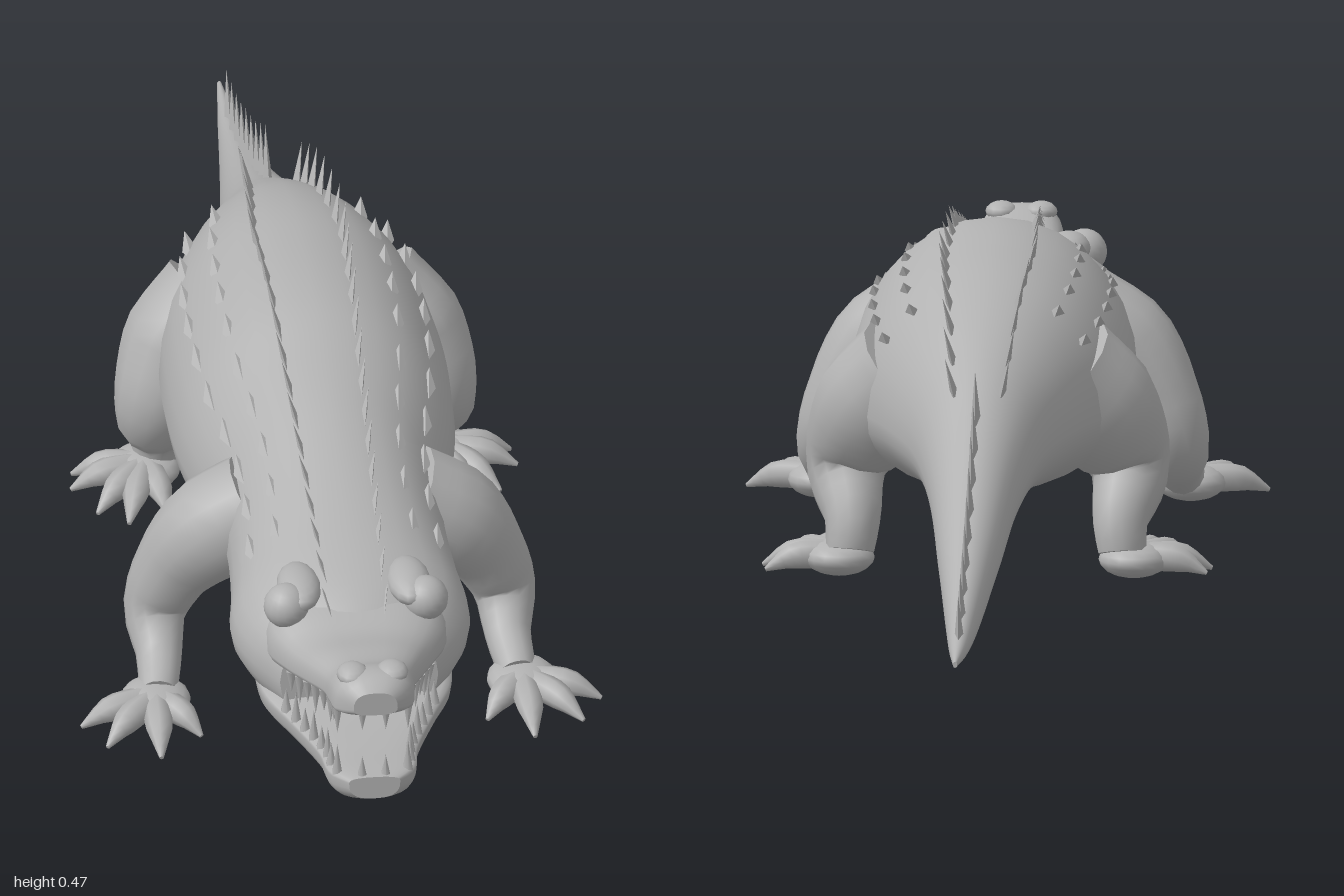
import * as THREE from 'three';

const skin = new THREE.MeshStandardMaterial({ color: 0xb2b2b2 });
skin.name = 'grey skin';

function add(parent, name, geometry) {
  const mesh = new THREE.Mesh(geometry, skin);
  mesh.name = name;
  parent.add(mesh);
  return mesh;
}

function group(parent, name) {
  const g = new THREE.Group();
  g.name = name;
  parent.add(g);
  return g;
}

// Skin a list of rings (counterclockwise about the direction of travel) and cap both ends
function loft(rings) {
  const n = rings[0].length, pos = [], idx = [];
  const put = p => pos.push(p.x, p.y, p.z) / 3 - 1;
  rings.forEach(r => r.forEach(put));
  for (let i = 0; i < rings.length - 1; i++) {
    for (let j = 0; j < n; j++) {
      const a = i * n + j, b = i * n + (j + 1) % n;
      idx.push(a, b, b + n, a, b + n, a + n);
    }
  }
  [rings[0], rings[rings.length - 1]].forEach((ring, end) => {
    const first = pos.length / 3;
    ring.forEach(put);
    const mid = put(ring.reduce((s, p) => s.add(p), new THREE.Vector3()).divideScalar(n));
    for (let j = 0; j < n; j++) {
      const a = first + j, b = first + (j + 1) % n;
      if (end) idx.push(mid, a, b); else idx.push(mid, b, a);
    }
  });
  const g = new THREE.BufferGeometry();
  g.setAttribute('position', new THREE.Float32BufferAttribute(pos, 3));
  g.setIndex(idx);
  g.computeVertexNormals();
  return g;
}

// Smooth sampler over sections [z, half width, centre y, height above, height below]
function sampler(sections) {
  const spline = new THREE.CubicInterpolant(
    new Float32Array(sections.map(s => s[0])),
    new Float32Array(sections.flatMap(s => s.slice(1))), 4);
  return z => [...spline.evaluate(z)];
}

function hull(sections, steps, power, sides = 28) {
  const at = sampler(sections), z0 = sections[0][0], z1 = sections[sections.length - 1][0];
  const soft = v => Math.sign(v) * Math.abs(v) ** power;
  const rings = [];
  for (let i = 0; i <= steps; i++) {
    const z = z0 + (z1 - z0) * i / steps, [w, y, up, down] = at(z);
    rings.push(Array.from({ length: sides }, (_, j) => {
      const a = j / sides * Math.PI * 2, s = soft(Math.sin(a));
      return new THREE.Vector3(w * soft(Math.cos(a)), y + s * (s > 0 ? up : down), z);
    }));
  }
  return loft(rings);
}

// Tapered limb through points [x, y, z, radius], mirrored by side
function limb(points, side, steps = 16, sides = 14) {
  const curve = new THREE.CatmullRomCurve3(points.map(p => new THREE.Vector3(p[0] * side, p[1], p[2])));
  const frames = curve.computeFrenetFrames(steps);
  const rings = [];
  for (let i = 0; i <= steps; i++) {
    const t = curve.getUtoTmapping(i / steps), c = curve.getPoint(t);
    const f = t * (points.length - 1), k = Math.min(Math.floor(f), points.length - 2);
    const r = THREE.MathUtils.lerp(points[k][3], points[k + 1][3], f - k);
    rings.push(Array.from({ length: sides }, (_, j) => {
      const a = j / sides * Math.PI * 2;
      return c.clone().addScaledVector(frames.normals[i], r * Math.cos(a))
        .addScaledVector(frames.binormals[i], r * Math.sin(a));
    }));
  }
  return loft(rings);
}

// Thin four-sided spike, its tip swept back and leaning sideways
function spike(parent, name, x, y, z, length, height, thick, lean) {
  const g = new THREE.ConeGeometry(1, 1, 4).toNonIndexed();
  const p = g.attributes.position;
  for (let i = 0; i < p.count; i++) {
    const t = p.getY(i) + 0.5;
    p.setXYZ(i, p.getX(i) * thick + lean * t, t * height, p.getZ(i) * length / 2 - t * length * 0.55);
  }
  g.computeVertexNormals();
  add(parent, name, g).position.set(x, y, z);
}

const BODY = [
  [-1, 0.003, 0.045, 0.004, 0.004], [-0.9, 0.013, 0.048, 0.016, 0.014],
  [-0.8, 0.022, 0.062, 0.03, 0.026], [-0.6, 0.042, 0.115, 0.055, 0.045],
  [-0.4, 0.067, 0.185, 0.085, 0.067], [-0.3, 0.092, 0.215, 0.115, 0.08],
  [-0.2, 0.135, 0.23, 0.155, 0.095], [-0.1, 0.172, 0.23, 0.19, 0.108],
  [0, 0.19, 0.23, 0.208, 0.116], [0.2, 0.193, 0.235, 0.212, 0.128],
  [0.3, 0.18, 0.235, 0.19, 0.128], [0.4, 0.158, 0.235, 0.17, 0.115],
  [0.5, 0.15, 0.235, 0.145, 0.108], [0.6, 0.155, 0.23, 0.125, 0.11],
  [0.68, 0.163, 0.22, 0.115, 0.1], [0.74, 0.143, 0.215, 0.1, 0.095],
  [0.785, 0.108, 0.205, 0.085, 0.085],
];
const UPPER_JAW = [
  [0.66, 0.12, 0.255, 0.068, 0.04], [0.76, 0.122, 0.24, 0.062, 0.025],
  [0.8, 0.103, 0.24, 0.052, 0.018], [0.86, 0.08, 0.255, 0.046, 0.016],
  [0.91, 0.062, 0.268, 0.042, 0.014], [0.95, 0.058, 0.277, 0.05, 0.012],
  [0.98, 0.051, 0.281, 0.046, 0.011], [0.998, 0.03, 0.288, 0.025, 0.01],
];
const LOWER_JAW = [
  [0.66, 0.135, 0.17, 0.03, 0.05], [0.76, 0.128, 0.168, 0.018, 0.05],
  [0.82, 0.1, 0.163, 0.012, 0.046], [0.9, 0.068, 0.16, 0.01, 0.042],
  [0.96, 0.056, 0.161, 0.01, 0.038], [0.985, 0.035, 0.163, 0.008, 0.026],
];
const FRONT_LEG = [
  [0.1, 0.27, 0.43, 0.075], [0.165, 0.23, 0.425, 0.073], [0.213, 0.165, 0.41, 0.055],
  [0.238, 0.1, 0.408, 0.044], [0.238, 0.058, 0.455, 0.032], [0.245, 0.033, 0.52, 0.026],
];
const HIND_LEG = [
  [0.1, 0.28, -0.07, 0.09], [0.155, 0.225, -0.05, 0.085], [0.192, 0.145, -0.025, 0.056],
  [0.182, 0.08, -0.075, 0.038], [0.185, 0.038, -0.085, 0.033],
];
const FRONT_TOES = [[0.355, 0.56], [0.325, 0.615], [0.255, 0.65], [0.195, 0.6]];
const HIND_TOES = [[0.3, -0.085], [0.305, -0.045], [0.275, 0.02], [0.235, 0.05], [0.18, 0.03]];

function buildLeg(parent, name, path, toes, palm, side) {
  const leg = group(parent, name);
  add(leg, 'limb', limb(path, side));
  const foot = add(leg, 'palm', new THREE.SphereGeometry(1, 16, 10));
  foot.scale.set(0.048, 0.025, 0.052);
  foot.position.set(palm[0] * side, 0.026, palm[1]);
  for (const [x, z] of toes) {
    const mx = (palm[0] + x * 1.5) / 2.5, mz = (palm[1] + z * 1.5) / 2.5;
    add(leg, 'toe', limb([[palm[0], 0.028, palm[1], 0.02], [mx, 0.028, mz, 0.019],
      [x, 0.01, z, 0.003]], side, 8, 8));
  }
}

function buildTeeth(parent, name, sections, dir) {
  const teeth = group(parent, name), at = sampler(sections);
  const tooth = (x, z, size) => {
    const [, y, up, down] = at(z);
    const t = add(teeth, 'tooth', new THREE.ConeGeometry(0.008, size, 6));
    t.position.set(x, y + dir * ((dir > 0 ? up : down) * 0.6 + size * 0.4), z);
    if (dir < 0) t.rotation.x = Math.PI;
  };
  for (const side of [-1, 1]) {
    for (let i = 0; i < 8; i++) {
      const z = 0.8 + i * 0.0225;
      tooth(side * (at(z)[0] - 0.009), z, 0.036 + 0.012 * (i % 2));
    }
    tooth(side * 0.016, 0.975, 0.036);
  }
}

export function createModel() {
  const model = new THREE.Group();
  model.name = 'crocodile';
  add(model, 'bodyAndTail', hull(BODY, 90, 1));

  // Head
  const head = group(model, 'head');
  add(head, 'upperJaw', hull(UPPER_JAW, 30, 0.75));
  add(head, 'lowerJaw', hull(LOWER_JAW, 28, 0.75));
  buildTeeth(head, 'upperTeeth', UPPER_JAW, -1);
  buildTeeth(head, 'lowerTeeth', LOWER_JAW, 1);
  for (const side of [-1, 1]) {
    add(head, 'eye', new THREE.SphereGeometry(0.031, 18, 14)).position.set(side * 0.095, 0.303, 0.745);
    const brow = add(head, 'brow', new THREE.SphereGeometry(1, 14, 10));
    brow.scale.set(0.03, 0.022, 0.055);
    brow.position.set(side * 0.075, 0.313, 0.715);
    const nostril = add(head, 'nostrilBump', new THREE.SphereGeometry(1, 12, 8));
    nostril.scale.set(0.022, 0.014, 0.025);
    nostril.position.set(side * 0.027, 0.32, 0.955);
  }

  // Legs
  for (const side of [-1, 1]) {
    const label = side > 0 ? 'left' : 'right';
    buildLeg(model, label + 'FrontLeg', FRONT_LEG, FRONT_TOES, [0.25, 0.525], side);
    buildLeg(model, label + 'HindLeg', HIND_LEG, HIND_TOES, [0.2, -0.07], side);
  }

  // Back ridges: two spiked rows that close up towards the tail, with low scutes beside them
  const ridge = group(model, 'backRidges');
  const at = sampler(BODY);
  const topAt = (x, z) => {
    const [w, y, up] = at(z);
    return y + up * Math.sqrt(Math.max(0, 1 - (x / w) ** 2));
  };
  for (const side of [-1, 1]) {
    for (let z = 0.76; z > -0.36; z -= 0.057) {
      const x = z > 0 ? 0.056 - 0.03 * z : 0.056 + 0.075 * z;
      const h = THREE.MathUtils.clamp(0.045 - 0.025 * (z - 0.1), 0.03, 0.055);
      spike(ridge, 'backSpike', side * x, topAt(x, z) - 0.012, z, 0.058, h, 0.006, side * 0.012);
    }
    for (let z = 0.6; z > -0.2; z -= 0.08) {
      for (const f of [0.58, 0.8]) {
        const x = at(z)[0] * f;
        spike(ridge, 'scute', side * x, topAt(x, z) - 0.008, z, 0.05, 0.017, 0.012, side * 0.006);
      }
    }
  }

  // Single tall crest along the tail
  const crest = group(model, 'tailCrest');
  for (let z = -0.38; z > -0.93; z -= 0.062) {
    spike(crest, 'tailSpike', 0, topAt(0, z) - 0.014, z, 0.062, 0.078 + 0.02 * (z + 0.38), 0.007, 0);
  }
  return model;
}
